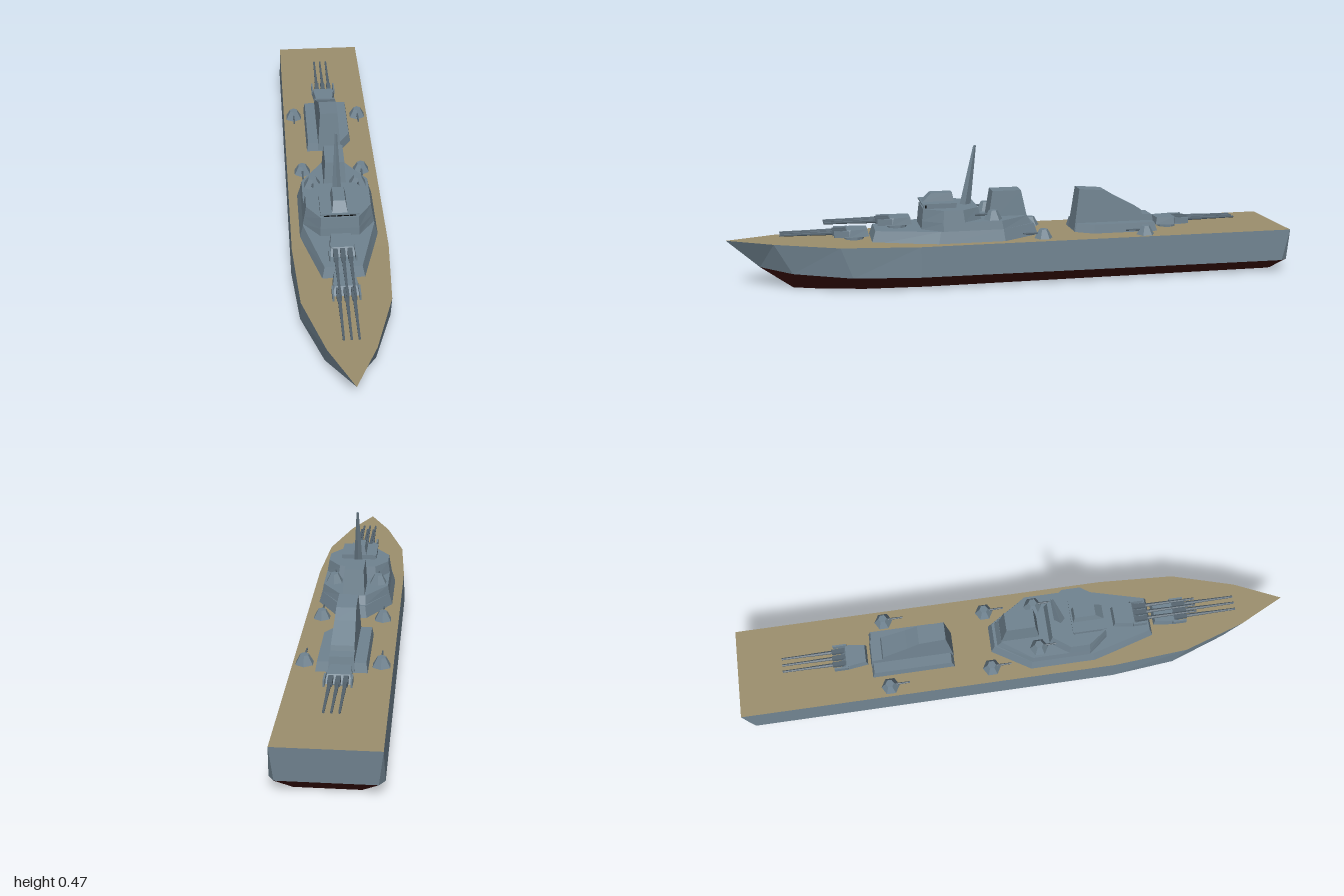
import * as THREE from 'three';

const paint = (color, side = THREE.FrontSide) =>
  new THREE.MeshStandardMaterial({ color, side, flatShading: true });
const GREY = paint(0x708390), DARK = paint(0x566570), DECK = paint(0x9c8f6d),
  RED = paint(0x45120d), BLACK = paint(0x080a0c);

function named(name, geometry, material = GREY) {
  const m = new THREE.Mesh(geometry, material);
  m.name = name;
  return m;
}

function box(name, w, h, d, x, y, z, material = GREY) {
  const m = named(name, new THREE.BoxGeometry(w, h, d), material);
  m.position.set(x, y, z);
  return m;
}

// Flat triangles, leaving out any that collapse to a line
function facets(tris) {
  const pos = [];
  for (const [a, b, c] of tris) {
    const n = b.clone().sub(a).cross(c.clone().sub(a));
    if (n.length() > 1e-9) for (const p of [a, b, c]) pos.push(p.x, p.y, p.z);
  }
  const g = new THREE.BufferGeometry();
  g.setAttribute('position', new THREE.Float32BufferAttribute(pos, 3));
  g.computeVertexNormals();
  return g;
}

// Closed ring from a half outline [x, y, z] running bow to stern
const ring = half => [...half, ...half.map(([x, y, z]) => [-x, y, z]).reverse()]
  .map(p => new THREE.Vector3(...p));

function sides(lower, upper) {
  return lower.flatMap((p, i) => {
    const j = (i + 1) % lower.length;
    return [[p, lower[j], upper[j]], [p, upper[j], upper[i]]];
  });
}

// Cap made of strips across the centreline
function cap(r, up) {
  const t = [], n = r.length;
  for (let i = 0; i < n / 2 - 1; i++) {
    const [a, b, c, d] = [r[i], r[i + 1], r[n - 2 - i], r[n - 1 - i]];
    t.push(...(up ? [[a, b, c], [a, c, d]] : [[a, c, b], [a, d, c]]));
  }
  return t;
}

const loft = (a, b) => facets([...sides(a, b), ...cap(a, false), ...cap(b, true)]);

// Tapered block from lower and upper half outlines [x, z]
function tier(name, y0, lower, y1, upper) {
  const at = (o, y) => ring(o.map(([x, z]) => [x, y, z]));
  return named(name, loft(at(lower, y0), at(upper, y1)));
}

function barrel(name, length, r0, r1, x, y, z) {
  const g = new THREE.CylinderGeometry(r1, r0, length, 6);
  g.rotateX(Math.PI / 2).translate(x, y, z + length / 2);
  return named(name, g, DARK);
}

function hull() {
  const g = new THREE.Group();
  g.name = 'hull';
  const keel = ring([[0.02, 0, 0.78], [0.05, 0, 0.70], [0.09, 0, 0.54], [0.105, 0, 0.33],
    [0.105, 0, -0.94], [0.1, 0, -0.955]]);
  const knuckle = ring([[0, 0.073, 0.89], [0.08, 0.063, 0.78], [0.148, 0.054, 0.58],
    [0.168, 0.05, 0.35], [0.168, 0.043, -0.97], [0.15, 0.043, -0.995]]);
  const deck = ring([[0, 0.172, 1], [0.077, 0.168, 0.84], [0.146, 0.161, 0.62],
    [0.164, 0.156, 0.35], [0.163, 0.155, -1], [0.163, 0.155, -1]]);
  g.add(named('lowerHull', facets([...sides(keel, knuckle), ...cap(keel, false)]), RED));
  g.add(named('upperHull', facets(sides(knuckle, deck))));
  g.add(named('deck', facets(cap(deck, true)), DECK));
  return g;
}

// Triple gun turret facing +z
function turret(name, y, z, aft) {
  const g = new THREE.Group();
  g.name = name;
  const base = new THREE.CylinderGeometry(0.034, 0.034, 0.016, 10);
  base.translate(0, 0.005, 0);
  g.add(named('barbette', base));
  g.add(tier('gunHouse', 0.012, [[0.043, 0.045], [0.045, 0.02], [0.036, -0.05]],
    0.037, [[0.036, 0.025], [0.04, 0.012], [0.032, -0.045]]));
  for (const s of [-1, 1])
    g.add(box('cheek', 0.006, 0.022, 0.05, s * 0.043, 0.025, 0.045));
  for (const x of [-0.024, 0, 0.024]) {
    g.add(box('gunSleeve', 0.016, 0.016, 0.05, x, 0.026, 0.05, DARK));
    g.add(barrel('barrelBase', 0.08, 0.0065, 0.0055, x, 0.027, 0.07));
    g.add(barrel('barrel', 0.11, 0.005, 0.004, x, 0.027, 0.145));
  }
  g.position.set(0, y, z);
  if (aft) g.rotation.y = Math.PI;
  return g;
}

// Small single gun mount
function smallMount(x, y, z) {
  const g = new THREE.Group();
  g.name = 'smallMount';
  const body = new THREE.CylinderGeometry(0.015, 0.033, 0.032, 6);
  body.translate(0, 0.016, 0);
  g.add(named('mountHouse', body));
  g.add(barrel('mountBarrel', 0.062, 0.004, 0.003, 0, 0.018, 0.01));
  g.position.set(x, y, z);
  return g;
}

function forwardStructure() {
  const g = new THREE.Group();
  g.name = 'forwardStructure';
  g.add(tier('lowerTier', 0.15, [[0.072, 0.51], [0.135, 0.285], [0.135, 0.05], [0.05, -0.085]],
    0.196, [[0.062, 0.495], [0.122, 0.275], [0.122, 0.055], [0.043, -0.07]]));
  g.add(tier('middleTier', 0.196, [[0.066, 0.335], [0.122, 0.265], [0.122, 0.055], [0.043, -0.06]],
    0.225, [[0.065, 0.333], [0.117, 0.265], [0.117, 0.06], [0.042, -0.045]]));
  g.add(tier('bridgeBlock', 0.225, [[0.065, 0.333], [0.117, 0.265], [0.117, 0.19], [0.07, 0.125]],
    0.267, [[0.063, 0.328], [0.11, 0.262], [0.11, 0.195], [0.065, 0.135]]));
  // Bridge windows under a flat roof
  g.add(box('bridgeWindows', 0.112, 0.014, 0.1, 0, 0.273, 0.272, BLACK));
  for (let i = 0; i < 6; i++)
    g.add(box('windowPost', 0.003, 0.013, 0.004, -0.055 + i * 0.022, 0.2735, 0.323));
  for (const s of [-1, 1])
    g.add(box('bridgeSide', 0.01, 0.015, 0.1, s * 0.06, 0.2735, 0.265));
  g.add(box('bridgeRear', 0.12, 0.015, 0.01, 0, 0.2735, 0.216));
  g.add(box('bridgeRoof', 0.13, 0.005, 0.122, 0, 0.2815, 0.27));
  g.add(tier('director', 0.284, [[0.026, 0.325], [0.026, 0.215]],
    0.313, [[0.02, 0.295], [0.02, 0.22]]));
  g.add(tier('forwardFunnel', 0.19, [[0.041, 0.098], [0.041, -0.052]],
    0.315, [[0.034, 0.078], [0.034, -0.025]]));

  // Raked four-sided mast
  const mast = ring([[0, 0.225, 0.2], [0.018, 0.225, 0.18], [0, 0.225, 0.155]]);
  const tip = ring([[0, 0.475, 0.14], [0.004, 0.475, 0.135], [0, 0.475, 0.13]]);
  g.add(named('mast', loft(mast, tip)));
  return g;
}

function aftStructure() {
  const g = new THREE.Group();
  g.name = 'aftStructure';
  // Base with one cut corner on the left
  const outline = inset => [[0.045, -0.22], [0.085, -0.28], [0.085, -0.52],
    [-0.085, -0.52], [-0.085, -0.28], [-0.085, -0.22]]
    .map(([x, z]) => [x * (1 - inset), -0.37 + (z + 0.37) * (1 - inset)]);
  const level = (inset, y) => outline(inset).map(([x, z]) => new THREE.Vector3(x, y, z));
  g.add(named('aftBase', loft(level(0, 0.15), level(0.07, 0.187))));

  // Stepped aft funnel, narrowing with height
  const profile = [[-0.22, 0.16], [-0.24, 0.31], [-0.335, 0.302], [-0.38, 0.275],
    [-0.47, 0.227], [-0.475, 0.21], [-0.512, 0.207], [-0.52, 0.16]];
  const shape = new THREE.Shape(profile.map(([z, y]) => new THREE.Vector2(-z, y)));
  const geo = new THREE.ExtrudeGeometry(shape, { depth: 1, bevelEnabled: false });
  geo.translate(0, 0, -0.5).rotateY(Math.PI / 2);
  const p = geo.attributes.position;
  for (let i = 0; i < p.count; i++)
    p.setX(i, Math.sign(p.getX(i)) * (0.043 - 0.07 * (p.getY(i) - 0.16)));
  geo.computeVertexNormals();
  g.add(named('aftFunnel', geo));
  return g;
}

export function createModel() {
  const ship = new THREE.Group();
  ship.name = 'warship';
  ship.add(hull(), forwardStructure(), aftStructure());
  ship.add(turret('forwardTurret', 0.16, 0.565), turret('raisedTurret', 0.196, 0.415),
    turret('aftTurret', 0.155, -0.58, true));
  for (const s of [-1, 1])
    ship.add(smallMount(s * 0.125, 0.155, -0.46), smallMount(s * 0.108, 0.155, -0.09),
      smallMount(s * 0.08, 0.225, 0.085));
  return ship;
}
